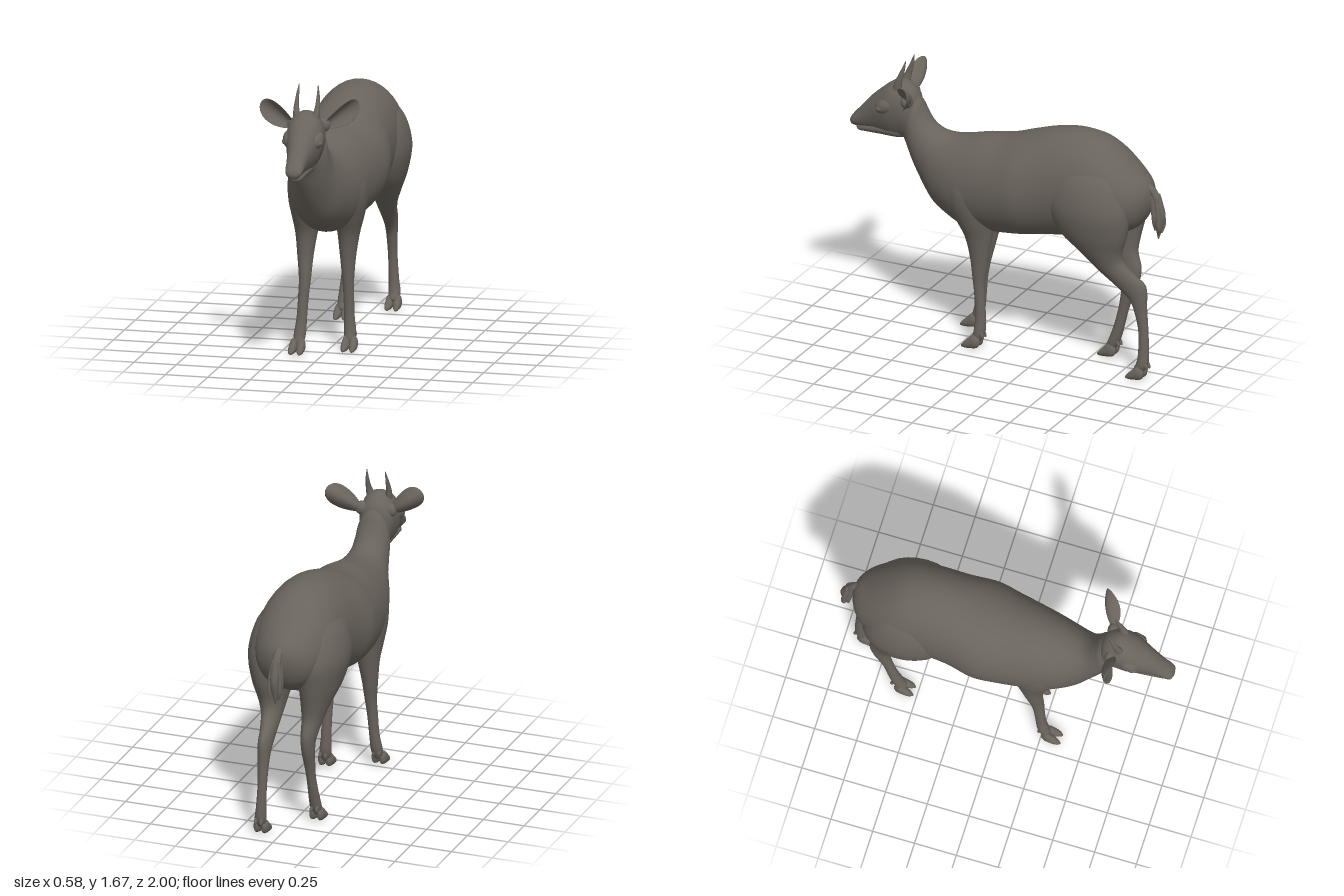
import * as THREE from 'three';

const coat = new THREE.MeshStandardMaterial({ color: 0x69635c });
coat.name = 'greyBrownCoat';

// Smooth skin through rings. Row: [x, z1, y1, z2, y2, halfWidth]; (z1,y1) and (z2,y2)
// are opposite ends of a ring (top/bottom going forward, front/back going down).
// A positive taper widens the first end of each ring and narrows the second.
function loft(name, rows, sides = 24, steps = 5, taper = 0) {
  const a = new THREE.CatmullRomCurve3(rows.map(r => new THREE.Vector3(r[0], r[2], r[1])), false, 'catmullrom');
  const b = new THREE.CatmullRomCurve3(rows.map(r => new THREE.Vector3(r[5], r[4], r[3])), false, 'catmullrom');
  const n = (rows.length - 1) * steps, pos = [], index = [];
  for (let i = 0; i <= n; i++) {
    const p = a.getPoint(i / n), q = b.getPoint(i / n);
    for (let j = 0; j < sides; j++) {
      const t = j / sides * Math.PI * 2, c = Math.cos(t) / 2;
      pos.push(p.x + Math.sin(t) * (1 + 2 * taper * c) * Math.max(q.x, 0.001),
        (p.y + q.y) / 2 + c * (p.y - q.y), (p.z + q.z) / 2 + c * (p.z - q.z));
    }
  }
  for (let i = 0; i < n; i++) for (let j = 0; j < sides; j++) {
    const k = (j + 1) % sides, r = i * sides, s = r + sides;
    index.push(r + j, s + j, r + k, r + k, s + j, s + k);
  }
  for (let j = 1; j < sides - 1; j++) { // end caps
    const e = n * sides;
    index.push(0, j, j + 1, e, e + j + 1, e + j);
  }
  const g = new THREE.BufferGeometry();
  g.setAttribute('position', new THREE.Float32BufferAttribute(pos, 3));
  g.setIndex(index);
  g.computeVertexNormals();
  const m = new THREE.Mesh(g, coat);
  m.name = name;
  return m;
}

function blob(name, x, y, z, sx, sy, sz, rx = 0) {
  const m = new THREE.Mesh(new THREE.SphereGeometry(1, 20, 14), coat);
  m.position.set(x, y, z);
  m.scale.set(sx, sy, sz);
  m.rotation.x = rx;
  m.name = name;
  return m;
}

// Leg rows: [zFront, yFront, zBack, yBack, x, halfWidth], from the top down, plus a cloven foot
function leg(name, rows, footX, toe) {
  const g = new THREE.Group();
  g.name = name;
  g.add(loft(name + 'Limb', rows.map(r => [r[4], r[0], r[1], r[2], r[3], r[5]])));
  const h = toe - 0.115;
  for (const s of [-1, 1]) {
    const x = footX + s * 0.023;
    g.add(loft('hoof', [
      [x, h, 0.06, h + 0.002, 0.025, 0.008], [x, h + 0.035, 0.088, h + 0.02, 0.008, 0.022],
      [x, h + 0.07, 0.062, h + 0.06, 0.002, 0.024], [x + s * 0.003, h + 0.1, 0.033, h + 0.095, 0.002, 0.016],
      [x + s * 0.002, toe, 0.014, toe, 0.004, 0.004]], 14, 4));
    g.add(blob('dewclaw', footX + s * 0.016, 0.092, h - 0.012, 0.01, 0.024, 0.011, 0.4));
  }
  return g;
}

// Cupped leaf-shaped ear between a base and a tip point, its hollow facing `face`
function ear(name, base, tip, face) {
  const from = new THREE.Vector3(...base), Y = new THREE.Vector3(...tip).sub(from), len = Y.length();
  Y.normalize();
  const X = Y.clone().cross(new THREE.Vector3(...face)).normalize(), Z = X.clone().cross(Y);
  const g = new THREE.SphereGeometry(1, 28, 20), p = g.attributes.position;
  for (let i = 0; i < p.count; i++) {
    const x = p.getX(i), y = p.getY(i), z = p.getZ(i);
    p.setXYZ(i, x * (0.06 + 0.014 * y), (y + 1) / 2 * len, z * 0.013 + 0.055 * x * x - 0.018 * (1 - y * y));
  }
  g.applyMatrix4(new THREE.Matrix4().makeBasis(X, Y, Z).setPosition(from));
  g.computeVertexNormals();
  const m = new THREE.Mesh(g, coat);
  m.name = name;
  return m;
}

export function createModel() {
  const model = new THREE.Group();
  model.name = 'youngAntelope';

  // Trunk from rump to neck
  model.add(loft('bodyAndNeck', [
    [0, -0.922, 1.11, -0.918, 1.05, 0.02], [0, -0.9, 1.175, -0.885, 0.97, 0.095],
    [0, -0.84, 1.24, -0.83, 0.9, 0.165], [0, -0.72, 1.345, -0.72, 0.84, 0.22],
    [0, -0.6, 1.415, -0.6, 0.8, 0.245], [0, -0.45, 1.435, -0.45, 0.785, 0.25],
    [0, -0.29, 1.41, -0.29, 0.76, 0.258], [0, -0.13, 1.357, -0.14, 0.735, 0.282],
    [0, 0, 1.314, 0, 0.718, 0.265], [0, 0.14, 1.292, 0.14, 0.708, 0.24],
    [0, 0.25, 1.265, 0.25, 0.712, 0.22], [0, 0.35, 1.25, 0.35, 0.755, 0.19],
    [0, 0.43, 1.262, 0.445, 0.815, 0.155], [0, 0.485, 1.3, 0.525, 0.92, 0.122],
    [0, 0.525, 1.36, 0.59, 1.035, 0.107], [0, 0.555, 1.42, 0.635, 1.14, 0.098],
    [0, 0.6, 1.48, 0.68, 1.21, 0.065]], 40));

  // Head and lower jaw
  const head = new THREE.Group();
  head.name = 'head';
  head.add(loft('skull', [
    [0, 0.56, 1.41, 0.59, 1.28, 0.05], [0, 0.59, 1.48, 0.63, 1.18, 0.092],
    [0, 0.66, 1.525, 0.685, 1.17, 0.102], [0, 0.73, 1.51, 0.74, 1.17, 0.104],
    [0, 0.8, 1.455, 0.79, 1.175, 0.088], [0, 0.87, 1.39, 0.85, 1.18, 0.067],
    [0, 0.93, 1.32, 0.9, 1.185, 0.055], [0, 0.97, 1.275, 0.945, 1.187, 0.051],
    [0, 0.992, 1.245, 0.978, 1.188, 0.041], [0, 1, 1.22, 0.995, 1.2, 0.014]], 32, 5, 0.2));
  head.add(loft('lowerJaw', [
    [0, 0.63, 1.24, 0.64, 1.175, 0.035], [0, 0.7, 1.25, 0.7, 1.166, 0.058],
    [0, 0.8, 1.24, 0.8, 1.166, 0.054], [0, 0.89, 1.22, 0.89, 1.163, 0.043],
    [0, 0.945, 1.205, 0.942, 1.163, 0.034], [0, 0.964, 1.195, 0.962, 1.175, 0.012]], 20));
  for (const s of [-1, 1]) {
    head.add(blob('eyeSocket', s * 0.07, 1.375, 0.748, 0.049, 0.048, 0.07, 0.5));
    head.add(blob('eye', s * 0.096, 1.362, 0.77, 0.024, 0.018, 0.032, 0.2));
    head.add(blob('nostril', s * 0.026, 1.226, 0.975, 0.02, 0.018, 0.02));
    head.add(blob('earRoot', s * 0.078, 1.43, s > 0 ? 0.61 : 0.64, 0.045, 0.042, 0.034));
    head.add(loft('horn', [
      [s * 0.056, 0.629, 1.668, 0.625, 1.667, 0.002], [s * 0.061, 0.656, 1.61, 0.633, 1.6, 0.009],
      [s * 0.062, 0.685, 1.55, 0.648, 1.535, 0.015], [s * 0.056, 0.708, 1.5, 0.655, 1.48, 0.022],
      [s * 0.05, 0.71, 1.45, 0.66, 1.44, 0.025]], 16));
  }
  head.add(ear('leftEar', [0.085, 1.42, 0.61], [0.264, 1.56, 0.52], [0.68, -0.1, 0.72]));
  head.add(ear('rightEar', [-0.085, 1.42, 0.645], [-0.27, 1.56, 0.66], [-0.15, 0.1, 1]));
  model.add(head);

  // Front legs: the left one stands a little further back
  model.add(leg('leftFrontLeg', [
    [0.25, 1.17, 0.13, 1.17, 0.12, 0.04], [0.33, 1.02, 0.06, 1.04, 0.125, 0.1],
    [0.32, 0.9, 0.035, 0.92, 0.123, 0.106], [0.27, 0.79, 0.04, 0.8, 0.118, 0.086],
    [0.22, 0.69, 0.055, 0.69, 0.11, 0.064], [0.19, 0.56, 0.078, 0.56, 0.105, 0.047],
    [0.174, 0.43, 0.098, 0.43, 0.106, 0.035], [0.162, 0.33, 0.1, 0.33, 0.108, 0.031],
    [0.156, 0.2, 0.093, 0.2, 0.11, 0.03], [0.162, 0.11, 0.092, 0.11, 0.115, 0.035],
    [0.172, 0.065, 0.115, 0.05, 0.118, 0.028], [0.16, 0.045, 0.13, 0.04, 0.118, 0.01]], 0.122, 0.23));
  model.add(leg('rightFrontLeg', [
    [0.29, 1.17, 0.16, 1.17, -0.12, 0.04], [0.35, 1.02, 0.08, 1.04, -0.122, 0.098],
    [0.345, 0.9, 0.05, 0.92, -0.123, 0.104], [0.3, 0.79, 0.08, 0.8, -0.124, 0.086],
    [0.26, 0.69, 0.11, 0.69, -0.127, 0.064], [0.25, 0.56, 0.145, 0.56, -0.13, 0.047],
    [0.257, 0.43, 0.178, 0.43, -0.128, 0.035], [0.262, 0.33, 0.198, 0.33, -0.133, 0.031],
    [0.273, 0.2, 0.212, 0.2, -0.14, 0.03], [0.292, 0.11, 0.225, 0.11, -0.147, 0.035],
    [0.305, 0.065, 0.25, 0.05, -0.15, 0.028], [0.295, 0.045, 0.265, 0.04, -0.15, 0.01]], -0.152, 0.37));

  // Hind legs: the left one is stretched back
  model.add(leg('leftHindLeg', [
    [-0.46, 1.34, -0.64, 1.34, 0.1, 0.04], [-0.35, 1.21, -0.76, 1.21, 0.13, 0.118],
    [-0.31, 1.04, -0.83, 1.04, 0.14, 0.148], [-0.38, 0.88, -0.82, 0.89, 0.14, 0.12],
    [-0.515, 0.755, -0.785, 0.77, 0.13, 0.083], [-0.63, 0.645, -0.795, 0.7, 0.118, 0.058],
    [-0.74, 0.555, -0.86, 0.635, 0.107, 0.044], [-0.82, 0.48, -0.924, 0.575, 0.1, 0.037],
    [-0.853, 0.41, -0.93, 0.44, 0.1, 0.031], [-0.878, 0.3, -0.938, 0.3, 0.1, 0.027],
    [-0.88, 0.17, -0.944, 0.17, 0.105, 0.03], [-0.872, 0.105, -0.942, 0.1, 0.11, 0.034],
    [-0.855, 0.065, -0.915, 0.05, 0.112, 0.028], [-0.87, 0.045, -0.9, 0.04, 0.112, 0.01]], 0.112, -0.81));
  model.add(leg('rightHindLeg', [
    [-0.46, 1.34, -0.64, 1.34, -0.1, 0.04], [-0.35, 1.21, -0.75, 1.21, -0.13, 0.118],
    [-0.31, 1.04, -0.82, 1.04, -0.14, 0.15], [-0.38, 0.87, -0.8, 0.89, -0.14, 0.12],
    [-0.52, 0.745, -0.775, 0.77, -0.13, 0.083], [-0.605, 0.635, -0.765, 0.68, -0.12, 0.058],
    [-0.66, 0.535, -0.79, 0.58, -0.112, 0.042], [-0.668, 0.45, -0.775, 0.485, -0.11, 0.036],
    [-0.66, 0.38, -0.738, 0.39, -0.11, 0.031], [-0.645, 0.3, -0.708, 0.3, -0.11, 0.027],
    [-0.618, 0.2, -0.68, 0.19, -0.113, 0.03], [-0.585, 0.11, -0.652, 0.1, -0.115, 0.034],
    [-0.565, 0.065, -0.625, 0.05, -0.117, 0.028], [-0.58, 0.045, -0.61, 0.04, -0.117, 0.01]], -0.117, -0.52));

  // Tail with a tuft of strands
  const tail = new THREE.Group();
  tail.name = 'tail';
  tail.add(loft('tailCore', [
    [0, -0.87, 1.15, -0.88, 1.185, 0.02], [0, -0.91, 1.12, -0.935, 1.15, 0.025],
    [0, -0.925, 1.05, -0.975, 1.08, 0.026], [0, -0.935, 0.98, -0.998, 1.0, 0.026],
    [0, -0.938, 0.92, -0.985, 0.92, 0.018], [0, -0.952, 0.845, -0.958, 0.845, 0.003]], 14));
  for (const s of [-1, 1]) for (const d of [0, 0.025]) {
    tail.add(loft('tailStrand', [
      [s * 0.012, -0.905 - d, 1.11, -0.935 - d, 1.12, 0.01], [s * 0.028, -0.92 - d, 1.03, -0.95 - d, 1.04, 0.01],
      [s * 0.033, -0.932 - d, 0.95 - d, -0.962 - d, 0.96 - d, 0.01],
      [s * 0.02, -0.94 - d, 0.9 - d, -0.946 - d, 0.9 - d, 0.002]], 10));
  }
  model.add(tail);
  return model;
}
